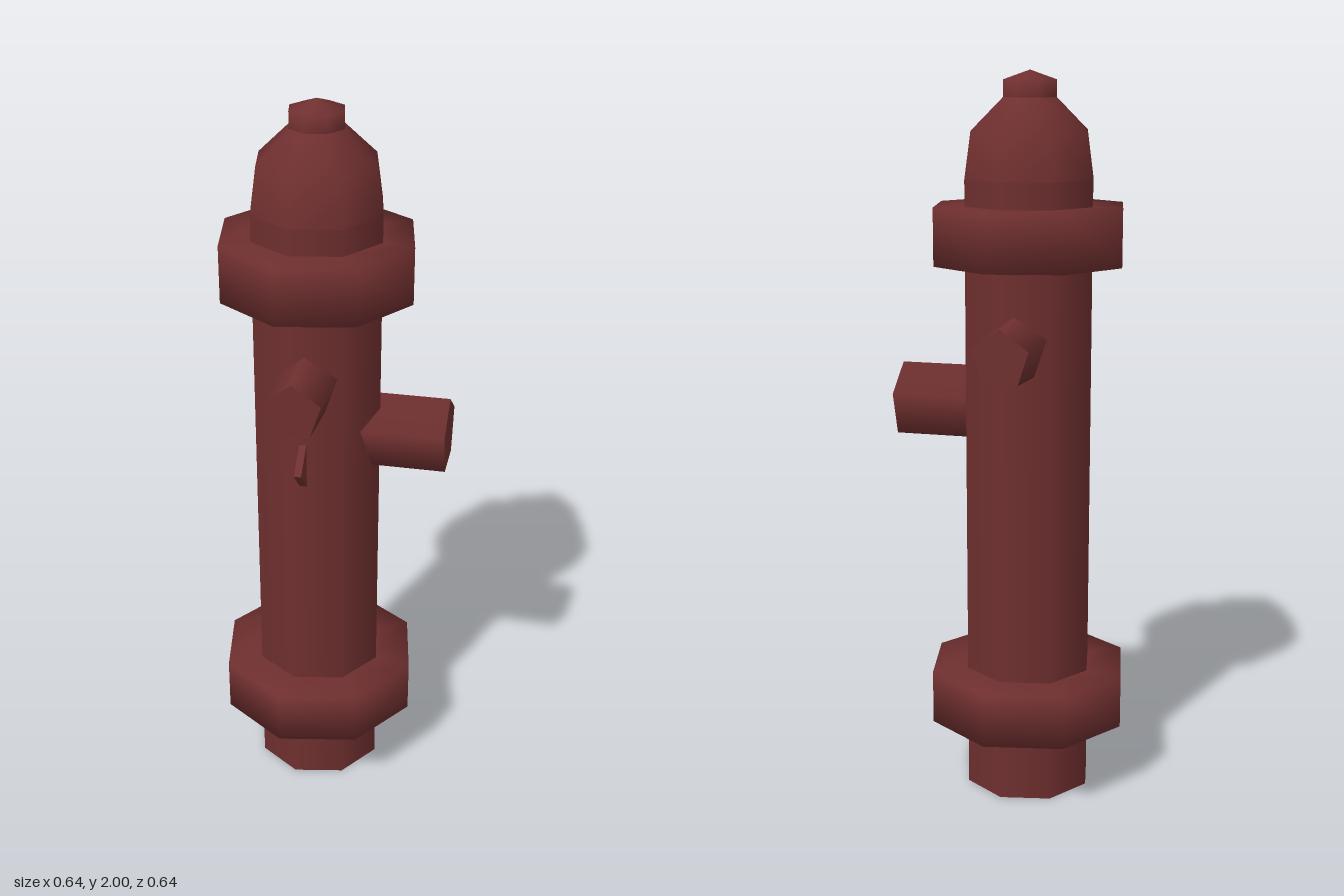
import * as THREE from 'three';

const AXIS_X = -0.042; // the barrel sits slightly off centre
const SIDES = 8;
const TURN = THREE.MathUtils.degToRad(33);

export function createModel() {
  const group = new THREE.Group();
  group.name = 'fireHydrant';
  const paint = new THREE.MeshStandardMaterial({ color: 0x6f2f2f });
  paint.name = 'dark red paint';

  const add = (name, geometry, x = AXIS_X, y = 0, z = 0) => {
    const mesh = new THREE.Mesh(geometry, paint);
    mesh.name = name;
    mesh.position.set(x, y, z);
    group.add(mesh);
    return mesh;
  };

  // Eight-sided turned part from [radius, height] pairs
  const turned = (profile) => new THREE.LatheGeometry(
    profile.map(([r, y]) => new THREE.Vector2(r, y)), SIDES, TURN);

  // Barrel with its base, domed bonnet and operating nut
  add('base', turned([[0, 0], [0.182, 0]]));
  add('barrel', turned([[0.182, 0], [0.182, 1.72]]));
  add('bonnet', turned([[0.182, 1.72], [0.164, 1.845], [0.075, 1.93]]));
  add('topNut', turned([[0.075, 1.93], [0.075, 1.975], [0, 2]]));

  // Flange rings
  const flange = (name, r, y0, y1) =>
    add(name, turned([[0.165, y0], [r, y0], [r, y1], [0.165, y1]]));
  flange('lowerFlange', 0.286, 0.2, 0.35);
  flange('upperFlange', 0.269, 1.495, 1.65);

  // Five-sided outlets, point upwards, running outwards from inside the barrel
  const outlet = (name, rTip, rRoot, from, to, y, heading) => {
    const geometry = new THREE.CylinderGeometry(rTip, rRoot, to - from, 5, 1, false, Math.PI);
    geometry.rotateX(Math.PI / 2).translate(0, 0, (from + to) / 2).rotateY(heading);
    add(name, geometry, AXIS_X, y);
  };
  outlet('frontOutlet', 0.079, 0.092, 0.1, 0.318, 1.286, 0);
  outlet('backOutlet', 0.079, 0.092, 0.1, 0.318, 1.286, Math.PI);
  outlet('sideOutlet', 0.105, 0.105, 0.1, 0.362, 1.102, Math.PI / 2);

  // Thin triangular lug on the front
  const lugShape = new THREE.Shape([
    new THREE.Vector2(0.15, 0.97),
    new THREE.Vector2(0.238, 1.057),
    new THREE.Vector2(0.15, 1.138),
  ]);
  const lug = new THREE.ExtrudeGeometry(lugShape, { depth: 0.02, bevelEnabled: false });
  lug.rotateY(-Math.PI / 2);
  add('frontLug', lug, -0.038);

  return group;
}
